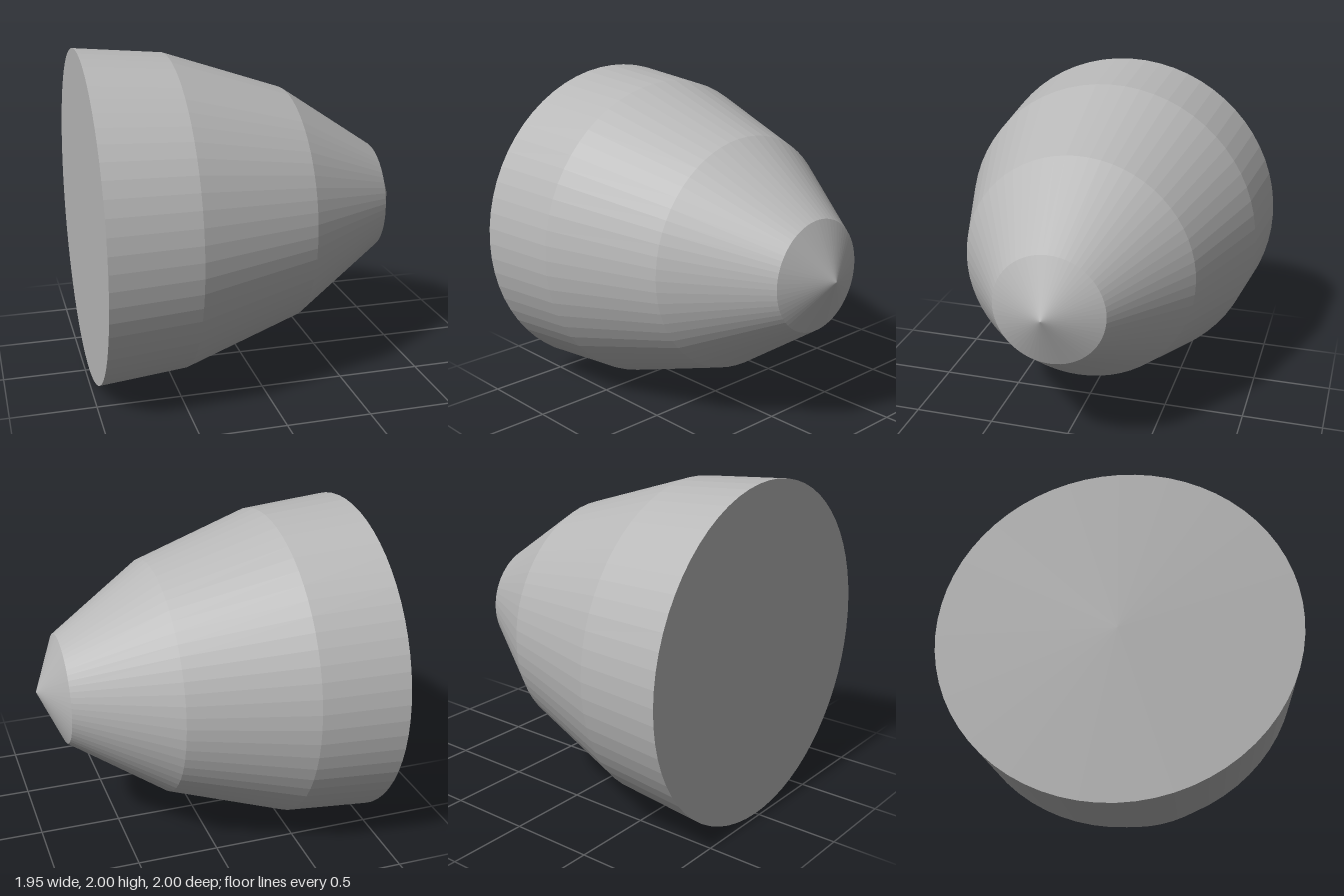
import * as THREE from 'three';

const SEGMENTS = 64;

// Surface of revolution about the x axis; profile is [x, radius] from back to tip
function turned(name, profile, material) {
  const points = profile.map(([x, r]) => new THREE.Vector2(r, x));
  const geometry = new THREE.LatheGeometry(points, SEGMENTS);
  geometry.rotateZ(-Math.PI / 2);
  const mesh = new THREE.Mesh(geometry, material);
  mesh.name = name;
  mesh.position.y = 1;
  return mesh;
}

export function createModel() {
  const grey = new THREE.MeshStandardMaterial({ color: 0xb8b8b8, flatShading: true });
  grey.name = 'plain grey';

  const model = new THREE.Group();
  model.name = 'taperedNose';

  // Flat base, three tapering bands and the blunt tip
  const rings = [[-0.975, 0], [-0.975, 1], [-0.453, 0.954], [0.262, 0.715], [0.83, 0.333], [0.975, 0]];
  const names = ['baseDisc', 'rearBand', 'middleBand', 'frontBand', 'tipCone'];
  names.forEach((name, i) => model.add(turned(name, [rings[i], rings[i + 1]], grey)));

  return model;
}
